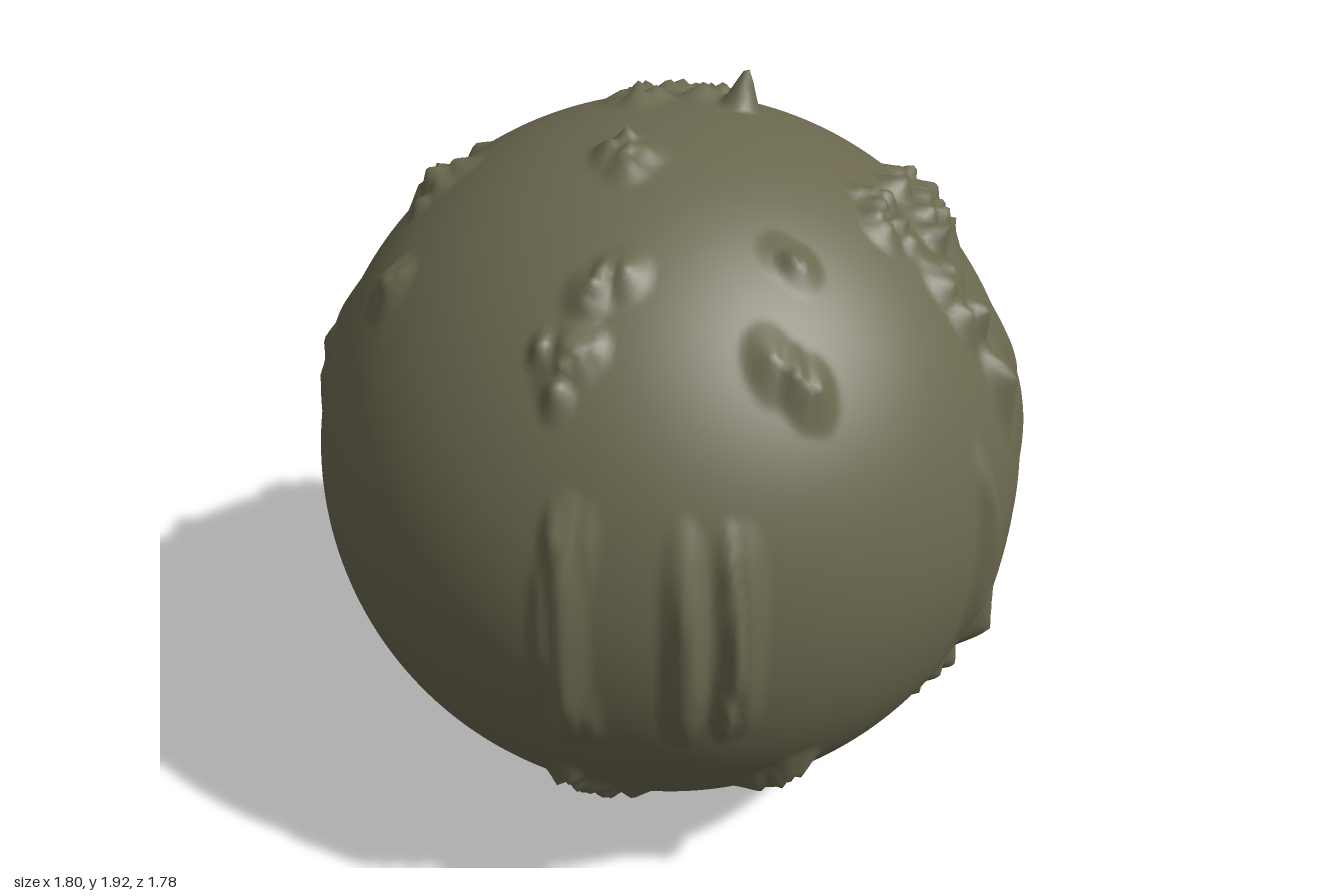
import * as THREE from 'three';
import { mergeVertices } from 'three/addons/utils/BufferGeometryUtils.js';

const RADIUS = 0.89;
const CENTRE_X = -0.02;

// Main rock clusters in plan: x, z, spread, height
const clusters = [
  [-0.08, -0.79, 0.04, 0.025], [-0.49, -0.50, 0.08, 0.06], [-0.27, -0.30, 0.06, 0.045],
  [-0.06, -0.22, 0.07, 0.05], [-0.20, -0.08, 0.07, 0.045], [-0.64, 0.06, 0.03, 0.04],
  [-0.83, 0.12, 0.03, 0.035], [0.05, 0.20, 0.06, 0.045], [-0.45, 0.35, 0.06, 0.06],
  [-0.31, 0.62, 0.03, 0.04], [-0.67, 0.55, 0.03, 0.035], [0.23, 0.47, 0.05, 0.04],
  [0.27, 0.62, 0.06, 0.04], [0.48, 0.15, 0.04, 0.04], [0.62, 0.29, 0.05, 0.045],
  [0.70, 0.54, 0.03, 0.05], [0.63, 0.61, 0.02, 0.04], [0.40, 0.77, 0.04, 0.035],
  [0.28, -0.52, 0.06, 0.06], [0.46, -0.40, 0.08, 0.065], [0.50, -0.20, 0.08, 0.05],
  [0.66, -0.30, 0.08, 0.06], [0.62, -0.62, 0.03, 0.025], [0.86, -0.17, 0.03, 0.045],
  [-0.83, -0.27, 0.06, 0.05], [-0.70, -0.29, 0.06, 0.06],
];

function seeded(seed) {
  return () => {
    seed = (seed * 16807) % 2147483647;
    return seed / 2147483647;
  };
}

// Scatter small peaks around each cluster's main one; wider clusters get more
function makePeaks() {
  const random = seeded(4711);
  const peaks = [{ x: 0.02, z: -0.2, height: 0.11, radius: 0.05 }];
  for (const [x, z, spread, height] of clusters) {
    const count = Math.round(spread * 120);
    for (let i = 0; i < count; i++) {
      const angle = random() * Math.PI * 2;
      const reach = i === 0 ? 0 : spread * (0.4 + random() * 0.8);
      peaks.push({
        x: x + Math.cos(angle) * reach,
        z: z + Math.sin(angle) * reach,
        height: i === 0 ? height : height * (0.4 + random() * 0.6),
        radius: 0.035 + random() * 0.03,
      });
    }
  }
  return peaks;
}

// Height depends on x and z only: peaks at the poles stretch to ridges at the equator
function heightAt(x, z, peaks) {
  let highest = 0;
  for (const peak of peaks) {
    const d = Math.hypot(x - peak.x, z - peak.z) / peak.radius;
    if (d < 1) highest = Math.max(highest, peak.height * Math.pow(1 - d, 1.2));
  }
  return highest;
}

export function createModel() {
  const group = new THREE.Group();
  const stone = new THREE.MeshStandardMaterial({ color: 0x6b684f });
  stone.name = 'olive stone';

  // Evenly divided sphere with shared corners for smooth shading
  const base = new THREE.IcosahedronGeometry(RADIUS, 75);
  base.deleteAttribute('uv');
  base.deleteAttribute('normal');
  const geometry = mergeVertices(base, 1e-5);

  // Push the peaks outward
  const peaks = makePeaks();
  const position = geometry.attributes.position;
  const v = new THREE.Vector3();
  for (let i = 0; i < position.count; i++) {
    v.fromBufferAttribute(position, i);
    v.setLength(RADIUS + heightAt(v.x + CENTRE_X, v.z, peaks));
    position.setXYZ(i, v.x, v.y, v.z);
  }
  geometry.computeVertexNormals();

  const planet = new THREE.Mesh(geometry, stone);
  planet.name = 'rockyPlanet';
  planet.position.set(CENTRE_X, 1, 0);
  group.add(planet);
  return group;
}
